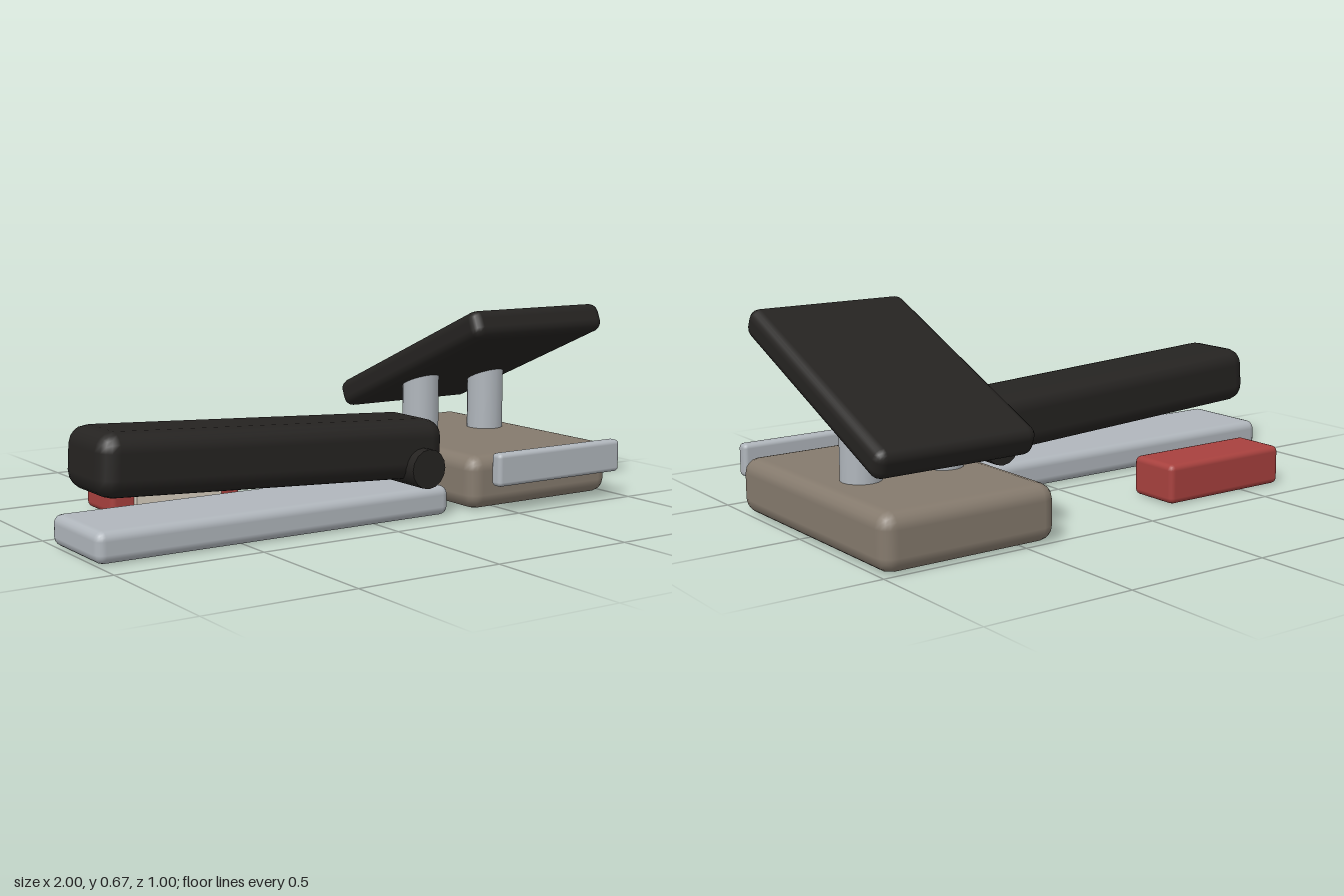
import * as THREE from 'three';
import { RoundedBoxGeometry } from 'three/addons/geometries/RoundedBoxGeometry.js';

const mat = (color) => new THREE.MeshStandardMaterial({ color });

export function createModel() {
  const black = mat(0x252321);
  const steel = mat(0xb0b6bc);
  const taupe = mat(0x857a6d);
  const red = mat(0xa8413e);
  const paper = mat(0xd9cfc0);

  const add = (parent, name, geometry, material, x, y, z) => {
    const mesh = new THREE.Mesh(geometry, material);
    mesh.name = name;
    mesh.position.set(x, y, z);
    parent.add(mesh);
    return mesh;
  };
  const rounded = (w, h, d, r) => new RoundedBoxGeometry(w, h, d, 2, r);
  const group = (name) => {
    const g = new THREE.Group();
    g.name = name;
    return g;
  };

  // Stapler: flat base, slightly tilted arm and hinge pin
  const stapler = group('stapler');
  add(stapler, 'staplerBase', rounded(1.29, 0.1, 0.33, 0.03), steel, -0.355, 0.05, 0.23);
  const arm = add(stapler, 'staplerArm', rounded(1.26, 0.2, 0.285, 0.06), black, -0.34, 0.25, 0.232);
  arm.rotation.z = -0.052;
  const pin = add(stapler, 'staplerHinge', new THREE.CylinderGeometry(0.066, 0.066, 0.35, 16), black, 0.19, 0.167, 0.235);
  pin.rotation.x = Math.PI / 2;

  // Hole punch: base, two posts, sloping lever and front paper guide
  const punch = group('holePunch');
  add(punch, 'punchBase', rounded(0.62, 0.184, 0.9, 0.05), taupe, 0.688, 0.092, -0.05);
  for (const x of [0.535, 0.835]) {
    add(punch, 'punchPost', new THREE.CylinderGeometry(0.066, 0.066, 0.27, 16), steel, x, 0.285, -0.1);
  }
  const lever = add(punch, 'punchLever', rounded(0.57, 0.1, 0.87, 0.035), black, 0.685, 0.465, -0.022);
  lever.rotation.x = -0.4;
  add(punch, 'paperGuide', rounded(0.54, 0.112, 0.047, 0.015), steel, 0.685, 0.151, 0.475);

  // Box of staples with a small front label
  const stapleBox = group('stapleBox');
  add(stapleBox, 'boxBody', rounded(0.495, 0.134, 0.195, 0.02), red, -0.418, 0.067, -0.297);
  add(stapleBox, 'boxLabel', new THREE.BoxGeometry(0.325, 0.08, 0.025), paper, -0.42, 0.068, -0.19);

  const model = group('deskTools');
  model.add(stapler, punch, stapleBox);
  return model;
}
